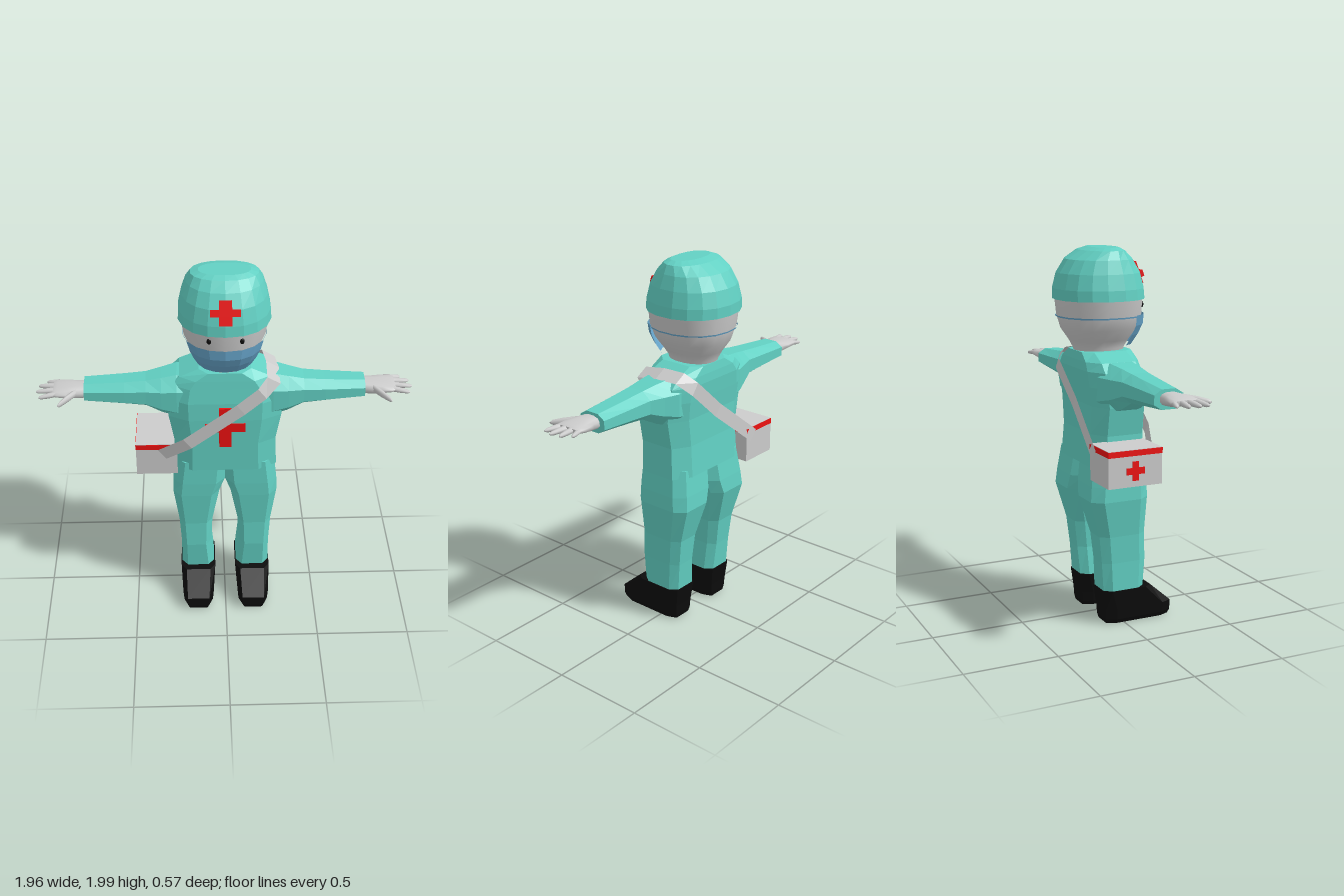
import * as THREE from 'three';

const V = (x, y, z) => new THREE.Vector3(x, y, z);
const mat = (color, flatShading = true, side = THREE.FrontSide) =>
  new THREE.MeshStandardMaterial({ color, flatShading, side });
const TEAL = 0x62d0c3, RED = 0xee1111, BLACK = 0x0c0c0c, BLUE = 0x66a3c8, GREY = 0xcccccc;

// Rounded-box outline: n unit points, squarer as p grows
function outline(n, p) {
  const max = Math.cos(Math.PI / n) ** (2 / p);
  const f = (v) => (Math.sign(v) * Math.abs(v) ** (2 / p)) / max;
  return Array.from({ length: n }, (_, i) => {
    const t = ((i + 0.5) / n) * Math.PI * 2;
    return [f(Math.cos(t)), f(Math.sin(t))];
  });
}

// Cross-section at height y
const ringY = (y, x0, x1, zb, zf, n = 8, p = 4) => outline(n, p).map(([a, b]) =>
  V((x0 + x1) / 2 + (a * (x1 - x0)) / 2, y, (zb + zf) / 2 - (b * (zf - zb)) / 2));

// Cross-section at distance x along an arm
const ringX = (x, y0, y1, zb, zf, n = 8, p = 2.4) => outline(n, p).map(([a, b]) =>
  V(x, (y0 + y1) / 2 + (a * (y1 - y0)) / 2, (zb + zf) / 2 + (b * (zf - zb)) / 2));

const mirror = (rings) => rings.map((r) => r.map((v) => V(-v.x, v.y, v.z)).reverse());

// Skin a list of cross-sections; closed ones get end caps
function loft(rings, { closed = true, caps = closed } = {}) {
  const n = rings[0].length, pts = rings.flat(), idx = [];
  for (let j = 0; j < rings.length - 1; j++) {
    for (let i = 0; i < (closed ? n : n - 1); i++) {
      const k = (i + 1) % n, a = j * n + i, b = j * n + k;
      idx.push(a, b, b + n, a, b + n, a + n);
    }
  }
  if (caps) {
    for (const [ring, end] of [[rings[0], 0], [rings[rings.length - 1], 1]]) {
      const base = pts.length;
      const mid = ring.reduce((s, v) => s.add(v), V(0, 0, 0)).divideScalar(n);
      pts.push(...ring.map((v) => v.clone()), mid);
      for (let i = 0; i < n; i++) {
        const a = base + i, b = base + ((i + 1) % n);
        idx.push(base + n, end ? a : b, end ? b : a);
      }
    }
  }
  const g = new THREE.BufferGeometry().setFromPoints(pts);
  g.setIndex(idx);
  g.computeVertexNormals();
  return g;
}

// Plus-shaped plate, centred, front face towards +z
function plusPlate(w, h, tx, ty, depth) {
  const s = new THREE.Shape();
  [[tx, h], [tx, ty], [w, ty], [w, -ty], [tx, -ty], [tx, -h], [-tx, -h], [-tx, -ty],
    [-w, -ty], [-w, ty], [-tx, ty], [-tx, h]].forEach(([x, y], i) => (i ? s.lineTo(x, y) : s.moveTo(x, y)));
  return new THREE.ExtrudeGeometry(s, { depth, bevelEnabled: false });
}

export function createModel() {
  const model = new THREE.Group();
  const add = (name, geometry, material, parent = model) => {
    const m = new THREE.Mesh(geometry, material);
    m.name = name;
    parent.add(m);
    return m;
  };
  const teal = mat(TEAL), red = mat(RED), black = mat(BLACK), skin = mat(GREY, false), grey = mat(GREY);

  // Head and neck
  const headRing = (y, r, zb, zf) => ringY(y, -r, r, zb, zf, 18, 2.2);
  add('head', loft([
    headRing(1.41, 0.1, -0.16, 0.08), headRing(1.48, 0.11, -0.18, 0.09), headRing(1.52, 0.135, -0.2, 0.115),
    headRing(1.58, 0.18, -0.24, 0.155), headRing(1.65, 0.208, -0.26, 0.177), headRing(1.78, 0.228, -0.272, 0.182),
  ]), skin);

  // Surgical cap
  add('cap', loft([
    headRing(1.735, 0.235, -0.28, 0.19), headRing(1.79, 0.232, -0.28, 0.185), headRing(1.87, 0.215, -0.26, 0.165),
    headRing(1.94, 0.193, -0.215, 0.122), headRing(1.985, 0.17, -0.14, 0.075), headRing(2.0, 0.13, -0.09, 0.045),
  ]), teal);
  const capPlus = add('capPlus', plusPlate(0.075, 0.062, 0.032, 0.017, 0.03), red);
  capPlus.position.set(0, 1.852, 0.153);
  capPlus.rotation.x = -0.36;

  // Face mask: front arc of the head sections, plus its thin strap
  const front = (r) => r.slice(9).filter((v) => v.z > 0.02);
  add('mask', loft([
    headRing(1.495, 0.15, -0.2, 0.128), headRing(1.55, 0.18, -0.235, 0.165),
    headRing(1.6, 0.2, -0.25, 0.188), headRing(1.655, 0.218, -0.27, 0.19),
  ].map(front), { closed: false }), mat(BLUE, true, THREE.DoubleSide));
  add('maskStrap', loft([headRing(1.642, 0.211, -0.264, 0.18), headRing(1.65, 0.213, -0.266, 0.182)],
    { caps: false }), mat(BLUE, true, THREE.DoubleSide));

  // Shirt
  const bodyRing = (y, r, zb, zf) => ringY(y, -r, r, zb, zf);
  add('shirt', loft([
    bodyRing(0.88, 0.275, -0.185, 0.133), bodyRing(1.05, 0.268, -0.172, 0.133), bodyRing(1.2, 0.295, -0.172, 0.133),
    bodyRing(1.3, 0.3, -0.183, 0.128), bodyRing(1.38, 0.28, -0.19, 0.115), bodyRing(1.425, 0.235, -0.187, 0.108),
    bodyRing(1.468, 0.135, -0.18, 0.1),
  ]), teal);
  add('shirtPlus', plusPlate(0.106, 0.12, 0.032, 0.025, 0.014), red).position.set(0, 1.157, 0.126);

  // Limbs, built for the left side and mirrored
  const arm = [
    ringX(0.15, 1.14, 1.43, -0.16, 0.1), ringX(0.25, 1.17, 1.424, -0.16, 0.105), ringX(0.33, 1.2, 1.41, -0.13, 0.1),
    ringX(0.41, 1.245, 1.395, -0.105, 0.092), ringX(0.52, 1.255, 1.385, -0.1, 0.085),
    ringX(0.73, 1.27, 1.37, -0.092, 0.066),
  ];
  const hand = [
    ringX(0.7, 1.285, 1.355, -0.06, 0.045, 12), ringX(0.77, 1.29, 1.355, -0.065, 0.06, 12),
    ringX(0.82, 1.3, 1.352, -0.078, 0.075, 12), ringX(0.87, 1.31, 1.348, -0.08, 0.075, 12),
    ringX(0.89, 1.318, 1.342, -0.072, 0.068, 12),
  ];
  const finger = (x0, z0, x1, z1, y1, r) => [[0, 1], [0.5, 0.95], [0.88, 0.7], [1, 0.25]].map(([t, k]) => {
    const x = x0 + (x1 - x0) * t, z = z0 + (z1 - z0) * t, y = 1.33 + (y1 - 1.33) * t;
    return ringX(x, y - r * k * 0.85, y + r * k * 0.85, z - r * k, z + r * k, 8, 2);
  });
  const fingers = [
    finger(0.86, -0.06, 0.93, -0.075, 1.322, 0.014), finger(0.86, -0.025, 0.97, -0.032, 1.325, 0.016),
    finger(0.86, 0.012, 0.98, 0.022, 1.325, 0.016), finger(0.86, 0.048, 0.962, 0.075, 1.322, 0.016),
    finger(0.77, 0.035, 0.86, 0.143, 1.315, 0.022),
  ];
  const leg = [
    ringY(0.18, 0.06, 0.243, -0.113, 0.118), ringY(0.35, 0.078, 0.243, -0.125, 0.128),
    ringY(0.5, 0.07, 0.253, -0.142, 0.12), ringY(0.7, 0.03, 0.283, -0.198, 0.128),
    ringY(0.78, 0.0, 0.28, -0.19, 0.128), ringY(0.92, -0.01, 0.262, -0.17, 0.122),
  ];
  const shoe = [
    ringY(0.006, 0.085, 0.225, -0.095, 0.275, 8, 5), ringY(0.03, 0.073, 0.235, -0.1, 0.285, 8, 5),
    ringY(0.085, 0.068, 0.24, -0.103, 0.285, 8, 5), ringY(0.195, 0.056, 0.248, -0.117, 0.16, 8, 5),
  ];
  for (const [side, f] of [['left', (r) => r], ['right', mirror]]) {
    add(side + 'Sleeve', loft(f(arm)), teal);
    const g = new THREE.Group();
    g.name = side + 'Hand';
    model.add(g);
    add('palm', loft(f(hand)), skin, g);
    fingers.forEach((r, i) => add(i < 4 ? 'finger' : 'thumb', loft(f(r)), skin, g));
    add(side + 'TrouserLeg', loft(f(leg)), teal);
    add(side + 'Shoe', loft(f(shoe)), black);
    const eye = add(side + 'Eye', new THREE.SphereGeometry(0.012, 12, 8), black);
    eye.scale.set(1, 1.35, 0.7);
    eye.position.set(side === 'left' ? 0.082 : -0.082, 1.7, 0.168);
  }

  // Shoulder bag with a red band and a plus on its outer side
  const bag = new THREE.Group();
  bag.name = 'bag';
  bag.position.set(-0.365, 0, -0.06);
  model.add(bag);
  const box = (name, y0, y1, grow, m) => {
    add(name, new THREE.BoxGeometry(0.22 + grow, y1 - y0, 0.3 + grow), m, bag).position.y = (y0 + y1) / 2;
  };
  box('bagBody', 0.83, 1.022, 0, grey);
  box('bagBand', 0.99, 1.02, 0.004, red);
  const bagPlus = add('bagPlus', plusPlate(0.05, 0.05, 0.017, 0.017, 0.006), red, bag);
  bagPlus.rotation.y = -Math.PI / 2;
  bagPlus.position.set(-0.108, 0.912, 0);

  // Strap across the chest, over the left shoulder and down the back
  const path = [
    [-0.335, 0.962, 0.096], [-0.2, 1.06, 0.142], [0.08, 1.275, 0.148], [0.19, 1.365, 0.138], [0.25, 1.42, 0.095],
    [0.25, 1.44, -0.03], [0.235, 1.435, -0.15], [0.18, 1.375, -0.205], [-0.02, 1.2, -0.196], [-0.31, 0.97, -0.215],
  ];
  const strap = path.map(([x, y, z], i) => {
    const over = i > 3 && i < 7;
    const w = over ? V(-0.034, 0.02, 0) : V(-0.022, 0.029, 0);
    const p = V(x, y, z);
    return [p.clone().sub(w), p.clone().add(w)];
  });
  add('strap', loft(strap, { closed: false }), mat(GREY, true, THREE.DoubleSide));
  return model;
}
